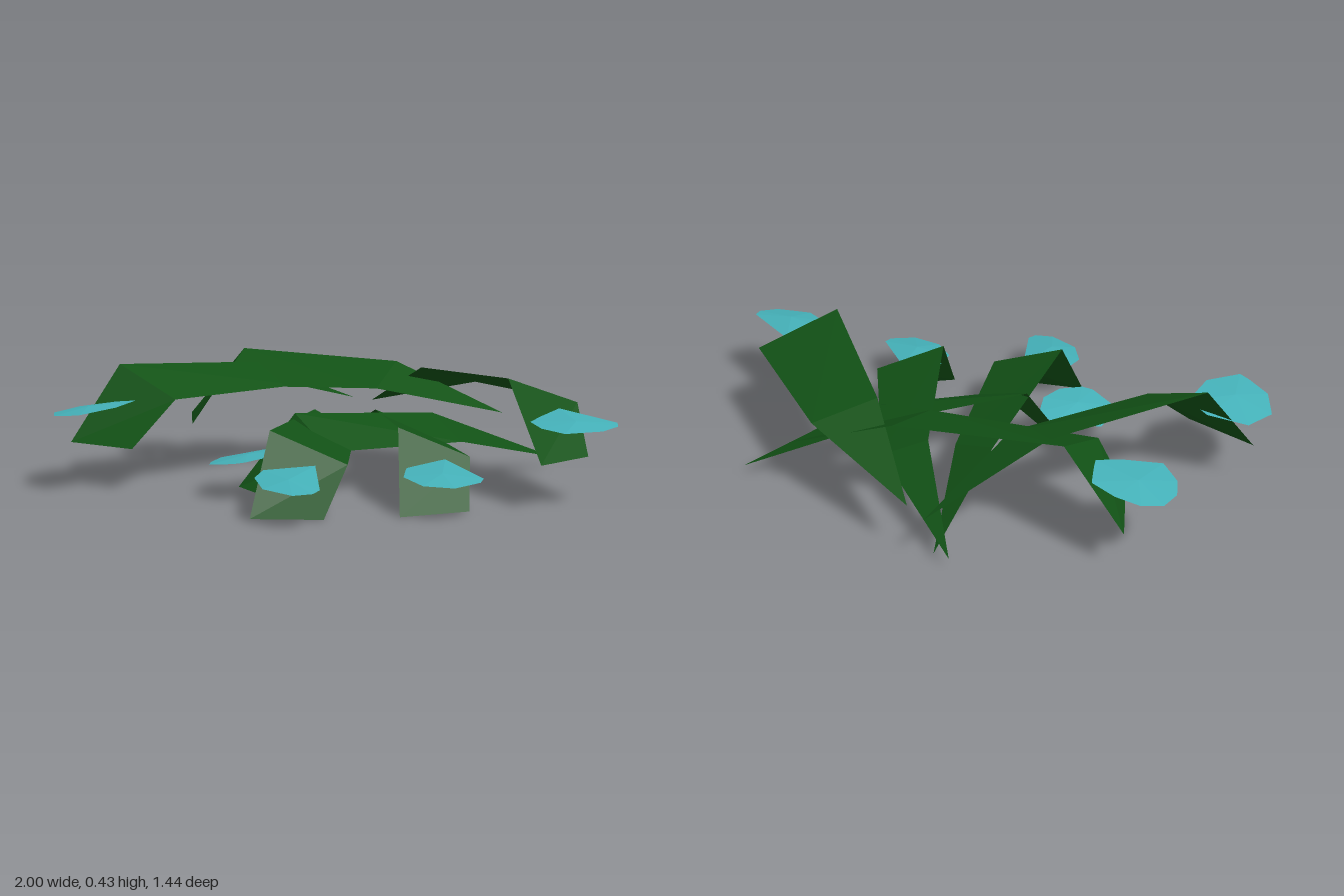
import * as THREE from 'three';

const green = new THREE.MeshStandardMaterial({ color: 0x125216, flatShading: true, side: THREE.DoubleSide });
const teal = new THREE.MeshStandardMaterial({ color: 0x45b2ba, flatShading: true, side: THREE.DoubleSide });

function meshFrom(name, points, index, material) {
  const g = new THREE.BufferGeometry();
  g.setAttribute('position', new THREE.Float32BufferAttribute(points.flat(), 3));
  g.setIndex(index);
  const flat = g.toNonIndexed();
  flat.computeVertexNormals();
  const mesh = new THREE.Mesh(flat, material);
  mesh.name = name;
  return mesh;
}

// Folded blade: pointed root, then three cross edges (middle, bend, end).
// Every edge is [high side x, z, low side x, z]; base is the height of the end.
function leaf(name, base, root, edges) {
  const heights = [[0.23, 0.16], [0.27, 0.16], [0, 0]];
  const pts = [[root[0], base + 0.045, root[1]]];
  edges.forEach(([hx, hz, lx, lz], i) => {
    pts.push([hx, base + heights[i][0], hz], [lx, base + heights[i][1], lz]);
  });
  const index = [0, 2, 1];
  for (let i = 1; i < 5; i += 2) index.push(i, i + 1, i + 2, i + 1, i + 3, i + 2);
  return meshFrom(name, pts, index, green);
}

// Thin faceted plate sloping down along the given axis (0 = toward -x, 1 = toward +z).
function plate(name, base, axis, outline) {
  const slope = outline.map(p => (axis === 0 ? p[0] : -p[1]));
  const min = Math.min(...slope), max = Math.max(...slope);
  const n = outline.length;
  const pts = outline.map(([x, z], i) => [x, base + 0.04 * (slope[i] - min) / (max - min), z]);
  const c = [0, 1, 2].map(k => pts.reduce((s, p) => s + p[k], 0) / n);
  pts.push([c[0], c[1] + 0.012, c[2]], [c[0], c[1] - 0.012, c[2]]);
  const index = [];
  for (let i = 0; i < n; i++) {
    const j = (i + 1) % n;
    index.push(n, j, i, n + 1, i, j);
  }
  return meshFrom(name, pts, index, teal);
}

export function createModel() {
  const model = new THREE.Group();
  model.name = 'plant';

  // Lower whorl of three leaves
  const lower = new THREE.Group();
  lower.name = 'lowerLeaves';
  lower.add(
    leaf('lowerFrontLeaf', 0, [-0.23, -0.68],
      [[-0.22, -0.26, -0.04, -0.21], [-0.14, 0.41, 0.13, 0.37], [-0.14, 0.6, 0.1, 0.53]]),
    leaf('lowerLeftLeaf', 0, [-0.29, -0.68],
      [[0, -0.33, 0.15, -0.40], [0.26, 0.21, 0.49, 0.1], [0.33, 0.41, 0.53, 0.25]]),
    leaf('lowerRightLeaf', 0, [0.64, -0.56],
      [[0.22, -0.34, 0.39, -0.16], [-0.18, 0.06, 0, 0.18], [-0.37, 0.14, -0.18, 0.29]]),
    plate('lowerFrontPlate', 0.12, 1, [[0.03, 0.42], [0.13, 0.65], [0.12, 0.69], [0.06, 0.72],
      [-0.06, 0.68], [-0.13, 0.58], [-0.13, 0.5]]),
    plate('lowerLeftPlate', 0.12, 1, [[0.42, 0.17], [0.6, 0.33], [0.6, 0.37], [0.53, 0.44],
      [0.42, 0.44], [0.33, 0.37], [0.31, 0.27]]),
    plate('lowerRightPlate', 0.12, 0, [[-0.26, 0.11], [-0.19, 0.14], [-0.16, 0.23], [-0.18, 0.32],
      [-0.24, 0.39], [-0.28, 0.4], [-0.39, 0.36], [-0.41, 0.3], [-0.41, 0.21]]),
  );

  // Upper whorl of three leaves
  const upper = new THREE.Group();
  upper.name = 'upperLeaves';
  upper.add(
    leaf('upperFrontRightLeaf', 0.16, [-0.22, -0.72],
      [[-0.48, -0.34, -0.29, -0.26], [-0.84, 0.14, -0.59, 0.2], [-0.96, 0.31, -0.69, 0.36]]),
    leaf('upperBackRightLeaf', 0.16, [0.44, -0.56],
      [[0.02, -0.53, 0.02, -0.28], [-0.57, -0.41, -0.57, -0.15], [-0.8, -0.41, -0.69, -0.17]]),
    leaf('upperLeftLeaf', 0.16, [-0.13, -0.68],
      [[0.16, -0.4, 0.33, -0.56], [0.6, 0.01, 0.8, -0.22], [0.76, 0.17, 0.88, -0.04]]),
    plate('upperFrontRightPlate', 0.275, 0, [[-0.82, 0.2], [-0.73, 0.24], [-0.73, 0.4], [-0.81, 0.52],
      [-0.85, 0.51], [-0.94, 0.47], [-1, 0.36], [-0.96, 0.24]]),
    plate('upperBackRightPlate', 0.275, 0, [[-0.76, -0.41], [-0.66, -0.39], [-0.62, -0.27], [-0.69, -0.21],
      [-0.81, -0.14], [-0.89, -0.2], [-0.92, -0.27], [-0.91, -0.35], [-0.85, -0.4]]),
    plate('upperLeftPlate', 0.275, 1, [[0.76, -0.1], [0.99, 0.02], [1, 0.06], [0.96, 0.12],
      [0.84, 0.17], [0.75, 0.13], [0.69, 0.06]]),
  );

  model.add(lower, upper);
  return model;
}
